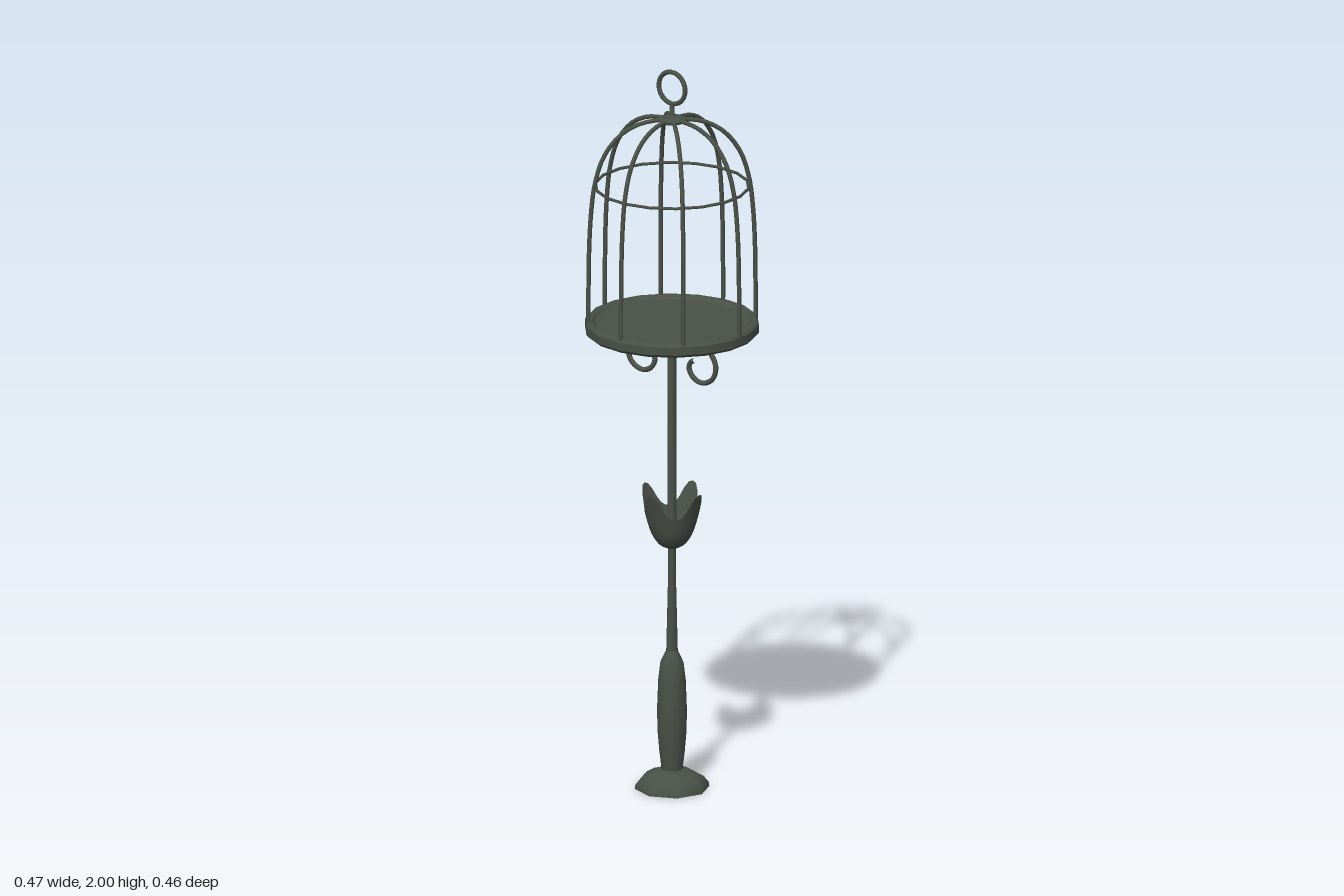
import * as THREE from 'three';
import { toCreasedNormals } from 'three/addons/utils/BufferGeometryUtils.js';

const iron = new THREE.MeshStandardMaterial({ color: 0x495147 });
iron.name = 'dark green iron';
const thinIron = new THREE.MeshStandardMaterial({ color: 0x495147, side: THREE.DoubleSide });
thinIron.name = 'dark green iron sheet';

export function createModel() {
  const model = new THREE.Group();
  model.name = 'birdcageStand';

  const add = (name, geometry, material = iron) => {
    const mesh = new THREE.Mesh(geometry, material);
    mesh.name = name;
    model.add(mesh);
    return mesh;
  };
  // Turned part from [radius, height] pairs, bottom to top
  const turned = (name, profile, sides, crease = 0.7) => {
    const points = profile.map(([r, y]) => new THREE.Vector2(r, y));
    return add(name, toCreasedNormals(new THREE.LatheGeometry(points, sides), crease));
  };
  const rod = (name, points, segments, radius) => {
    const curve = new THREE.CatmullRomCurve3(points.map((p) => new THREE.Vector3(...p)));
    return add(name, new THREE.TubeGeometry(curve, segments, radius, 8));
  };

  // Stand
  turned('foot', [[0, 0], [0.1, 0], [0.098, 0.012], [0.085, 0.028], [0.06, 0.043], [0.03, 0.053], [0, 0.055]], 8, 0.9);
  turned('handle', [[0, 0.045], [0.028, 0.05], [0.034, 0.1], [0.039, 0.16], [0.04, 0.22],
    [0.037, 0.3], [0.031, 0.35], [0.022, 0.37], [0.014, 0.385], [0, 0.387]], 12, 0.9);
  turned('lowerPole', [[0.016, 0.36], [0.015, 0.4], [0.011, 0.57], [0.01, 0.69]], 10);
  turned('upperPole', [[0.012, 0.68], [0.012, 1.275]], 10);

  // Four-petal cup: the rim height rises and falls with the angle
  const petals = new THREE.PlaneGeometry(1, 1, 48, 10);
  const cupProfile = new THREE.SplineCurve([
    [0.012, 0.668], [0.035, 0.68], [0.055, 0.71], [0.068, 0.75], [0.077, 0.785], [0.092, 0.832],
  ].map(([r, y]) => new THREE.Vector2(r, y)));
  const position = petals.attributes.position;
  for (let i = 0; i < position.count; i++) {
    const angle = (position.getX(i) + 0.5) * Math.PI * 2;
    const reach = 0.69 + 0.31 * Math.pow(Math.abs(Math.cos(angle * 2)) * (Math.cos(angle * 4) > -1 ? 1 : 0), 0.6) * (Math.cos(angle * 4) * 0.5 + 0.5);
    const p = cupProfile.getPoint((position.getY(i) + 0.5) * reach);
    position.setXYZ(i, Math.sin(angle) * p.x, p.y, Math.cos(angle) * p.x);
  }
  petals.computeVertexNormals();
  add('petalCup', petals, thinIron);

  // Mirrored scroll brackets below the tray
  for (const side of [1, -1]) {
    rod('scroll', [[0, 1.205], [0.03, 1.232], [0.06, 1.247], [0.09, 1.25], [0.125, 1.237], [0.146, 1.2],
      [0.135, 1.163], [0.1, 1.146], [0.07, 1.157], [0.057, 1.18], [0.062, 1.197], [0.076, 1.204]]
      .map(([z, y]) => [0, y, z * side]), 48, 0.007);
  }

  // Tray with raised lip
  turned('tray', [[0, 1.268], [0.225, 1.268], [0.233, 1.276], [0.233, 1.298], [0.227, 1.305],
    [0.215, 1.305], [0.205, 1.296], [0, 1.296]], 18).rotation.y = Math.PI / 2;

  // Eight cage bars bending in to the crown
  for (let i = 0; i < 8; i++) {
    rod('cageBar', [[0.224, 1.29, 0], [0.224, 1.4, 0], [0.222, 1.52, 0], [0.217, 1.61, 0], [0.207, 1.69, 0],
      [0.183, 1.765, 0], [0.14, 1.822, 0], [0.085, 1.853, 0], [0.02, 1.863, 0]], 28, 0.006)
      .rotation.y = i * Math.PI / 4;
  }
  const hoop = add('hoop', new THREE.TorusGeometry(0.205, 0.004, 6, 18));
  hoop.rotation.x = Math.PI / 2;
  hoop.position.y = 1.677;

  // Crown and hanging ring
  turned('crown', [[0, 1.853], [0.034, 1.855], [0.036, 1.862], [0.03, 1.868], [0.01, 1.872],
    [0.007, 1.88], [0.007, 1.902]], 16);
  const ring = add('hangingRing', new THREE.TorusGeometry(0.044, 0.0065, 8, 24));
  ring.rotation.y = Math.PI / 2;
  ring.position.y = 1.9495;

  return model;
}
